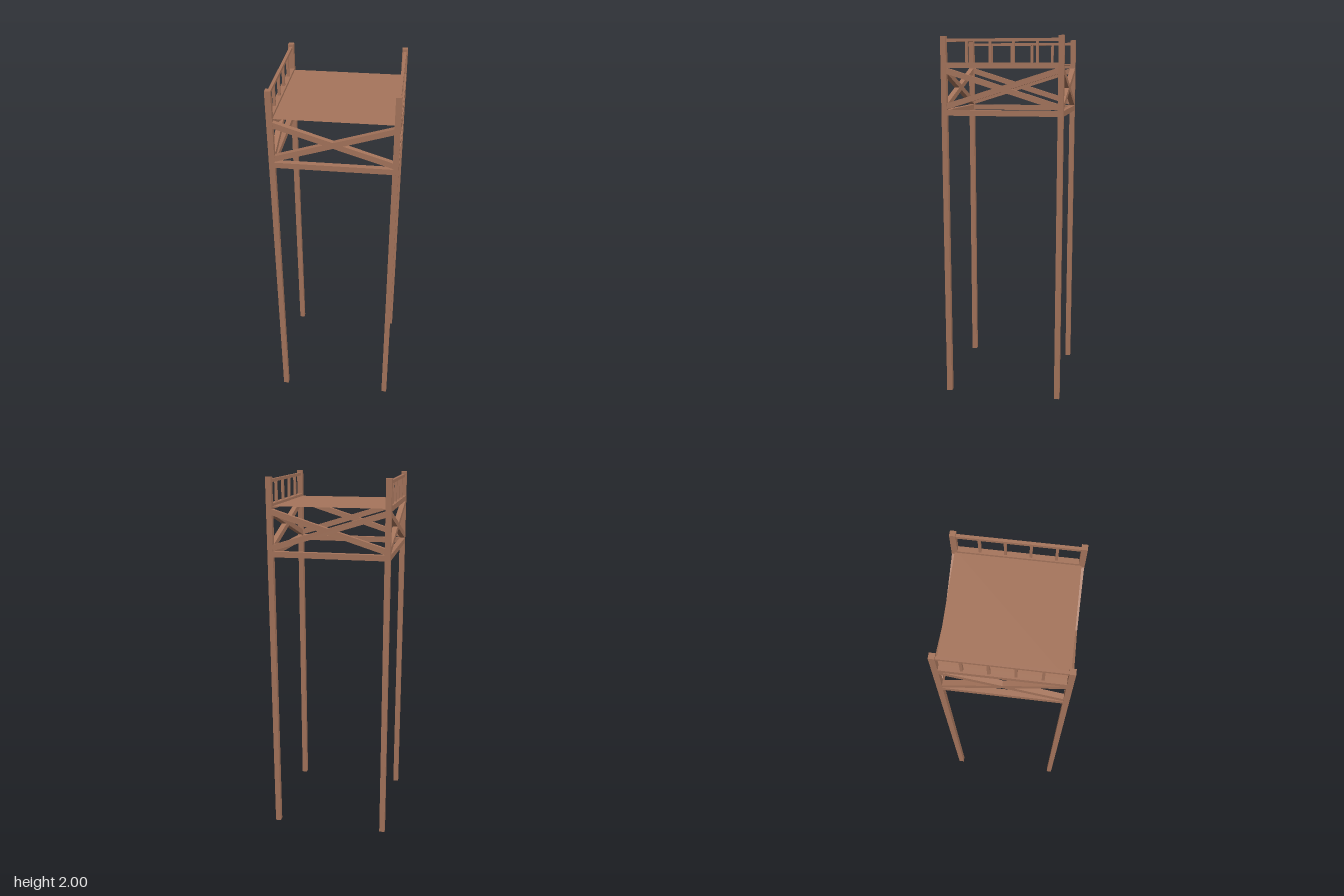
import * as THREE from 'three';

export function createModel() {
  const model = new THREE.Group();
  model.name = 'watchtower';
  const wood = new THREE.MeshStandardMaterial({ color: 0xa5745b });
  wood.name = 'brownWood';
  const deckWood = new THREE.MeshStandardMaterial({ color: 0xa5745b, side: THREE.DoubleSide });
  deckWood.name = 'deckWood';

  const R = 0.3125; // post centre offset from the axis
  const T = 0.03;   // timber thickness

  function box(parent, name, w, h, d, x, y, z) {
    const mesh = new THREE.Mesh(new THREE.BoxGeometry(w, h, d), wood);
    mesh.name = name;
    mesh.position.set(x, y, z);
    parent.add(mesh);
    return mesh;
  }

  // Corner posts
  for (const sx of [-1, 1]) {
    for (const sz of [-1, 1]) box(model, 'post', T, 2, T, sx * R, 1, sz * R);
  }

  // Each side: lower beam and crossed braces, turned around the tower
  const sides = ['front', 'left', 'back', 'right'];
  const rise = 0.195;
  sides.forEach((side, i) => {
    const frame = new THREE.Group();
    frame.name = side + 'Frame';
    frame.rotation.y = i * Math.PI / 2;
    const out = i === 0 ? R + 0.002 : R; // front beam stands slightly proud
    box(frame, 'lowerBeam', 2 * R, T, T, 0, 1.601, out);
    for (const s of [-1, 1]) {
      const brace = box(frame, 'diagonalBrace', Math.hypot(2 * R, rise), T, T - 0.002, 0, 1.728, R);
      brace.rotation.z = s * Math.atan2(rise, 2 * R);
    }
    model.add(frame);
  });

  // Thin deck sheet
  const deck = new THREE.Mesh(new THREE.PlaneGeometry(2 * R, 2 * R), deckWood);
  deck.name = 'deck';
  deck.rotation.x = -Math.PI / 2;
  deck.position.y = 1.85;
  model.add(deck);

  // Railings on the left and right sides
  for (const s of [-1, 1]) {
    const rail = new THREE.Group();
    rail.name = s > 0 ? 'leftRailing' : 'rightRailing';
    box(rail, 'deckBeam', T, 0.028, 2 * R, s * R, 1.849, 0);
    box(rail, 'topRail', 0.016, 0.016, 2 * R, s * R, 1.978, 0);
    for (let k = 0; k < 4; k++) {
      box(rail, 'baluster', 0.014, 0.12, 0.014, s * R, 1.915, (k - 1.5) * 0.125);
    }
    model.add(rail);
  }
  return model;
}
